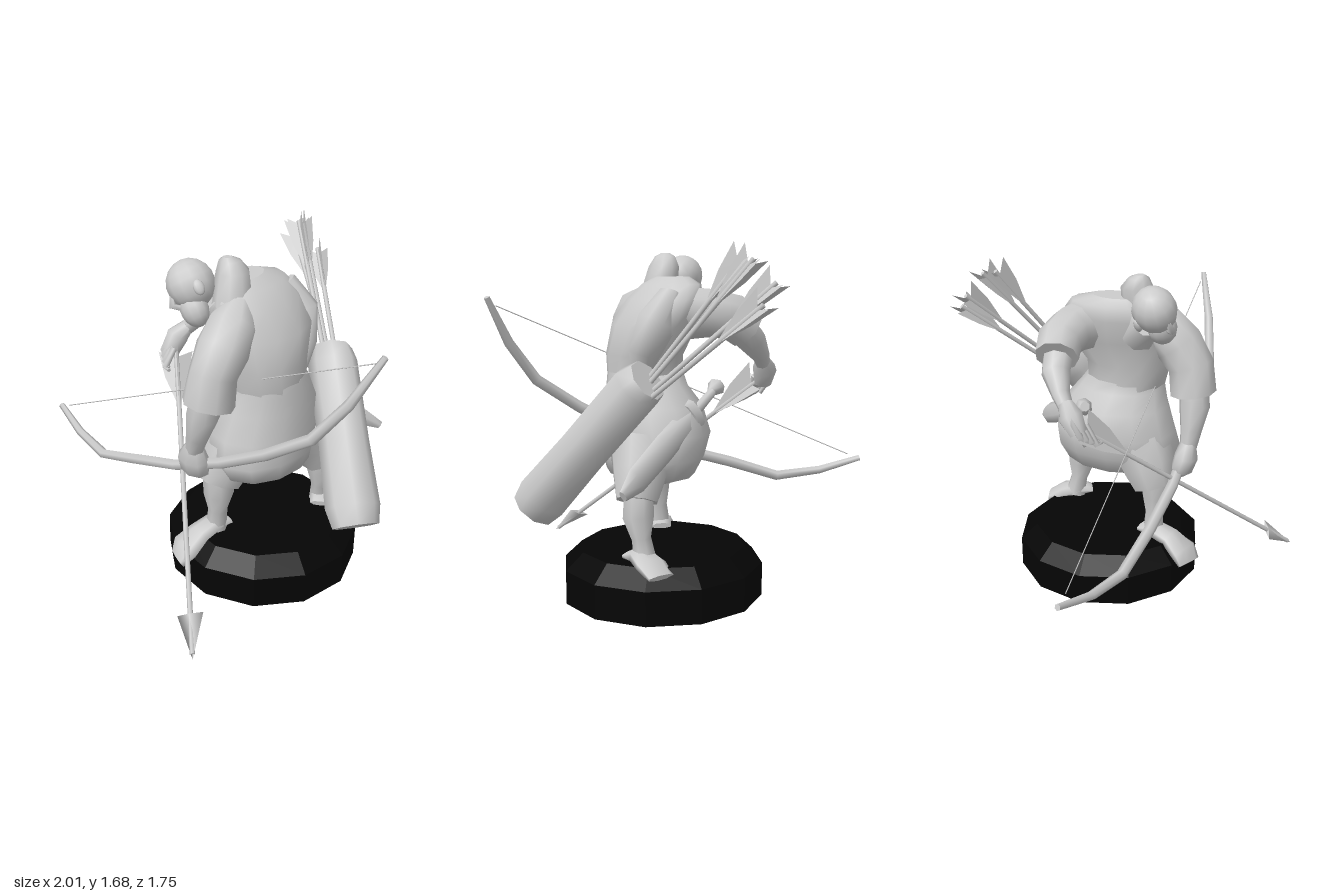
import * as THREE from 'three';

const grey = new THREE.MeshStandardMaterial({ color: 0xcccccc, side: THREE.DoubleSide });
const black = new THREE.MeshStandardMaterial({ color: 0x050505, flatShading: true });
const V = (p) => new THREE.Vector3(p[0], p[1], p[2]);

// Closed loft through elliptical rings [x, y, z, radiusU, radiusV]
function loft(rings, sides = 8, { ref = [0, 0, 1], level = false } = {}) {
  const pos = [], idx = [], last = rings.length - 1;
  const loops = rings.map((r, i) => {
    const t = level ? new THREE.Vector3(0, 1, 0)
      : V(rings[Math.min(i + 1, last)]).sub(V(rings[Math.max(i - 1, 0)])).normalize();
    const u = V(ref).cross(t).normalize();
    const v = t.clone().cross(u);
    return Array.from({ length: sides }, (_, j) => {
      const a = (j / sides) * Math.PI * 2;
      return V(r).addScaledVector(u, Math.cos(a) * r[3]).addScaledVector(v, Math.sin(a) * (r[4] ?? r[3]));
    });
  });
  loops.forEach((loop) => loop.forEach((p) => pos.push(p.x, p.y, p.z)));
  for (let i = 0; i < last; i++) for (let j = 0; j < sides; j++) {
    const k = (j + 1) % sides, a = i * sides, b = a + sides;
    idx.push(a + j, a + k, b + k, a + j, b + k, b + j);
  }
  // Caps keep their own vertices so the rims stay sharp
  for (const end of [0, last]) {
    const base = pos.length / 3;
    loops[end].forEach((p) => pos.push(p.x, p.y, p.z));
    pos.push(...rings[end].slice(0, 3));
    for (let j = 0; j < sides; j++) {
      const k = (j + 1) % sides;
      idx.push(base + sides, base + (end ? j : k), base + (end ? k : j));
    }
  }
  const g = new THREE.BufferGeometry();
  g.setAttribute('position', new THREE.Float32BufferAttribute(pos, 3));
  g.setIndex(idx);
  g.computeVertexNormals();
  return g;
}

export function createModel() {
  const root = new THREE.Group();
  const add = (name, geometry, parent = root, material = grey) => {
    const m = new THREE.Mesh(geometry, material);
    m.name = name;
    parent.add(m);
    return m;
  };
  const ball = (name, c, r, parent = root) => {
    const m = add(name, new THREE.SphereGeometry(1, 12, 9), parent);
    m.position.set(...c);
    m.scale.set(...r);
    return m;
  };

  // Bevelled round base
  const profile = [[0, 0], [0.485, 0], [0.485, 0.16], [0.4, 0.24], [0, 0.24]].map((p) => new THREE.Vector2(...p));
  add('base', new THREE.LatheGeometry(profile, 12), root, black).position.set(0.235, 0, -0.095);

  // Robe: skirt, waist and hunched upper body
  add('skirt', loft([
    [0.28, 0.56, -0.06, 0.1, 0.15], [0.28, 0.6, -0.05, 0.2, 0.29], [0.27, 0.69, -0.05, 0.235, 0.335], [0.25, 0.8, -0.065, 0.245, 0.32],
    [0.265, 0.93, -0.065, 0.225, 0.275], [0.29, 1.02, -0.04, 0.19, 0.225], [0.29, 1.08, -0.02, 0.18, 0.2],
  ], 12, { level: true }));
  add('upperBody', loft([
    [0.29, 1.03, -0.02, 0.18, 0.2], [0.29, 1.16, -0.01, 0.18, 0.22], [0.255, 1.3, -0.05, 0.19, 0.275],
    [0.2, 1.42, -0.05, 0.165, 0.27], [0.165, 1.49, -0.05, 0.125, 0.215], [0.15, 1.525, -0.03, 0.07, 0.12],
  ], 12, { level: true }));
  add('robeFold', loft([
    [0.24, 1.45, -0.22, 0.05, 0.07], [0.31, 1.32, -0.25, 0.1, 0.085], [0.36, 1.18, -0.21, 0.08, 0.06], [0.37, 1.06, -0.18, 0.04, 0.04],
  ], 8));

  // Head looks down towards the bow
  const head = new THREE.Group();
  head.name = 'head';
  root.add(head);
  head.position.set(0.015, 1.515, 0.195);
  head.rotation.set(0.3, -0.6, 0.5, 'YXZ');
  ball('skull', [0, 0, 0], [0.105, 0.115, 0.112], head);
  ball('jaw', [0, -0.11, 0.03], [0.072, 0.085, 0.065], head);
  add('nose', loft([[0, -0.015, 0.1, 0.012], [0, -0.06, 0.115, 0.018], [0, -0.08, 0.085, 0.016]], 5, { ref: [1, 0, 0] }), head);
  for (const s of [-1, 1]) ball('ear', [s * 0.1, -0.035, -0.01], [0.016, 0.036, 0.025], head);
  add('neck', loft([[0.15, 1.35, 0.08, 0.1], [0.08, 1.43, 0.14, 0.075]], 8));
  add('collar', loft([
    [0.19, 1.34, 0.12, 0.09, 0.1], [0.17, 1.47, 0.09, 0.085, 0.1], [0.155, 1.57, 0.07, 0.075, 0.08],
    [0.145, 1.62, 0.08, 0.05, 0.05], [0.14, 1.637, 0.09, 0.02, 0.02],
  ], 9, { level: true }));

  // Left arm hangs down and grips the bow
  add('leftSleeve', loft([
    [0.22, 1.44, 0.1, 0.055, 0.06], [0.235, 1.37, 0.18, 0.115, 0.11], [0.24, 1.28, 0.26, 0.125, 0.12],
    [0.235, 1.18, 0.325, 0.11, 0.115], [0.225, 1.04, 0.345, 0.125, 0.115],
  ], 9));
  add('leftForearm', loft([
    [0.22, 1.1, 0.35, 0.07], [0.205, 0.98, 0.36, 0.078], [0.17, 0.86, 0.355, 0.055], [0.145, 0.77, 0.35, 0.042],
  ], 8));
  add('leftHand', loft([
    [0.145, 0.8, 0.35, 0.045, 0.04], [0.135, 0.73, 0.345, 0.082, 0.06], [0.13, 0.66, 0.325, 0.078, 0.055], [0.125, 0.63, 0.31, 0.05, 0.03],
  ], 8));

  // Right arm is drawn back to hold an arrow
  add('rightSleeve', loft([
    [0.2, 1.36, -0.17, 0.13], [0.04, 1.36, -0.23, 0.115], [-0.06, 1.34, -0.245, 0.11], [-0.14, 1.29, -0.23, 0.105],
  ], 9));
  add('rightForearm', loft([
    [-0.09, 1.3, -0.24, 0.075], [-0.18, 1.225, -0.22, 0.07], [-0.25, 1.15, -0.17, 0.045], [-0.285, 1.1, -0.13, 0.036],
  ], 8));
  add('rightHand', loft([[-0.275, 1.12, -0.14, 0.036], [-0.31, 1.07, -0.1, 0.06], [-0.32, 1.0, -0.06, 0.045]], 8));
  for (let i = 0; i < 4; i++) {
    const d = i * 0.02;
    add('finger', loft([
      [-0.345 + d, 1.09 - d, -0.1 + d, 0.018], [-0.355 + d, 1.0 - d, -0.04 + d, 0.016], [-0.32 + d, 0.94, -0.03 + d, 0.01],
    ], 5, { ref: [1, 0, 0] }));
  }

  // Legs: baggy trouser, shin and bent foot
  add('rightTrouser', loft([[0.2, 0.74, 0.08, 0.16], [0.17, 0.63, 0.14, 0.145], [0.16, 0.53, 0.175, 0.115]], 8));
  add('leftTrouser', loft([[0.37, 0.74, -0.2, 0.16], [0.41, 0.63, -0.27, 0.13], [0.44, 0.52, -0.31, 0.1]], 8));
  add('rightShin', loft([[0.16, 0.58, 0.18, 0.08], [0.165, 0.46, 0.185, 0.075], [0.155, 0.36, 0.18, 0.048], [0.145, 0.25, 0.18, 0.055]], 8));
  add('leftShin', loft([[0.43, 0.57, -0.31, 0.07], [0.44, 0.45, -0.33, 0.075], [0.43, 0.35, -0.34, 0.046], [0.42, 0.25, -0.36, 0.055]], 8));
  const up = { ref: [0, 1, 0] };
  add('rightFoot', loft([
    [0.16, 0.265, 0.11, 0.05, 0.015], [0.14, 0.275, 0.18, 0.06, 0.04], [0.115, 0.25, 0.28, 0.07, 0.04],
    [0.09, 0.2, 0.36, 0.095, 0.035], [0.07, 0.145, 0.395, 0.075, 0.015],
  ], 7, up));
  add('leftFoot', loft([
    [0.47, 0.265, -0.28, 0.05, 0.015], [0.44, 0.275, -0.34, 0.06, 0.04], [0.42, 0.255, -0.43, 0.08, 0.03], [0.4, 0.215, -0.51, 0.07, 0.015],
  ], 7, up));

  // Bow and string
  add('bow', loft([
    [-1, 0.53, 0.09, 0.016], [-0.79, 0.465, 0.165, 0.022], [-0.56, 0.44, 0.23, 0.026], [-0.3, 0.53, 0.28, 0.028],
    [0, 0.62, 0.31, 0.028], [0.28, 0.74, 0.32, 0.028], [0.52, 0.87, 0.32, 0.028], [0.74, 1.02, 0.31, 0.027],
    [0.88, 1.21, 0.265, 0.024], [0.99, 1.43, 0.2, 0.014],
  ], 6));
  add('bowString', loft([[-0.93, 0.555, 0.1, 0.0025], [0.95, 1.39, 0.195, 0.0025]], 4));

  // Arrow running from its nock to its point, with three feathers that widen to the nock
  function arrow(name, tail, tip, fin, w, withHead) {
    const g = new THREE.Group(), y = V(tip).sub(V(tail)), len = y.length();
    y.normalize();
    const x = y.clone().cross(new THREE.Vector3(0, 1, 1)).normalize();
    g.name = name;
    g.position.copy(V(tail));
    g.quaternion.setFromRotationMatrix(new THREE.Matrix4().makeBasis(x, y, x.clone().cross(y)));
    root.add(g);
    add('shaft', new THREE.CylinderGeometry(0.012, 0.012, len - 0.05, 6), g).position.y = len / 2;
    const feather = new THREE.Shape([[0, 0.06], [w, 0], [w * 0.7, fin * 0.45], [0, fin]].map((p) => new THREE.Vector2(...p)));
    for (let i = 0; i < 3; i++) add('feather', new THREE.ShapeGeometry(feather), g).rotation.y = (i * Math.PI * 2) / 3;
    if (withHead) {
      const h = add('arrowHead', new THREE.ConeGeometry(0.065, 0.2, 4), g);
      h.position.y = len - 0.1;
      h.scale.z = 0.2;
    }
  }
  arrow('drawnArrow', [-0.3, 1.02, -0.075], [0.525, 0.09, 0.86], 0.34, 0.1, true);
  [[0.05, 1.63, -0.63], [0.03, 1.62, -0.69], [-0.05, 1.52, -0.75], [0.05, 1.43, -0.83]].forEach((end, i) =>
    arrow('quiverArrow', end, [0.46 + i * 0.012, 0.98 - i * 0.02, -0.31 - i * 0.02], 0.3, 0.075, false));

  // Quiver slung behind the left hip
  add('quiver', loft([
    [0.415, 1.08, -0.4, 0.1], [0.45, 1.04, -0.355, 0.12], [0.64, 0.75, -0.17, 0.12], [0.79, 0.52, -0.02, 0.13], [0.835, 0.45, 0.02, 0.11],
  ], 8));

  // Sheathed dagger across the back of the waist
  const along = (t, u, v) => [-0.03 + 0.63 * t, 1.0 - 0.37 * t, -0.14 - 0.47 * t, u, v];
  add('daggerPommel', loft([along(-0.03, 0.025), along(0, 0.045), along(0.06, 0.022)], 7));
  add('daggerGrip', loft([along(0.04, 0.022), along(0.3, 0.026)], 7));
  add('daggerGuard', loft([along(0.27, 0.082, 0.045), along(0.33, 0.082, 0.045)], 8));
  add('daggerSheath', loft([along(0.32, 0.058, 0.034), along(0.6, 0.064, 0.036), along(0.88, 0.058, 0.03), along(1.01, 0.025, 0.015)], 6));

  return root;
}
